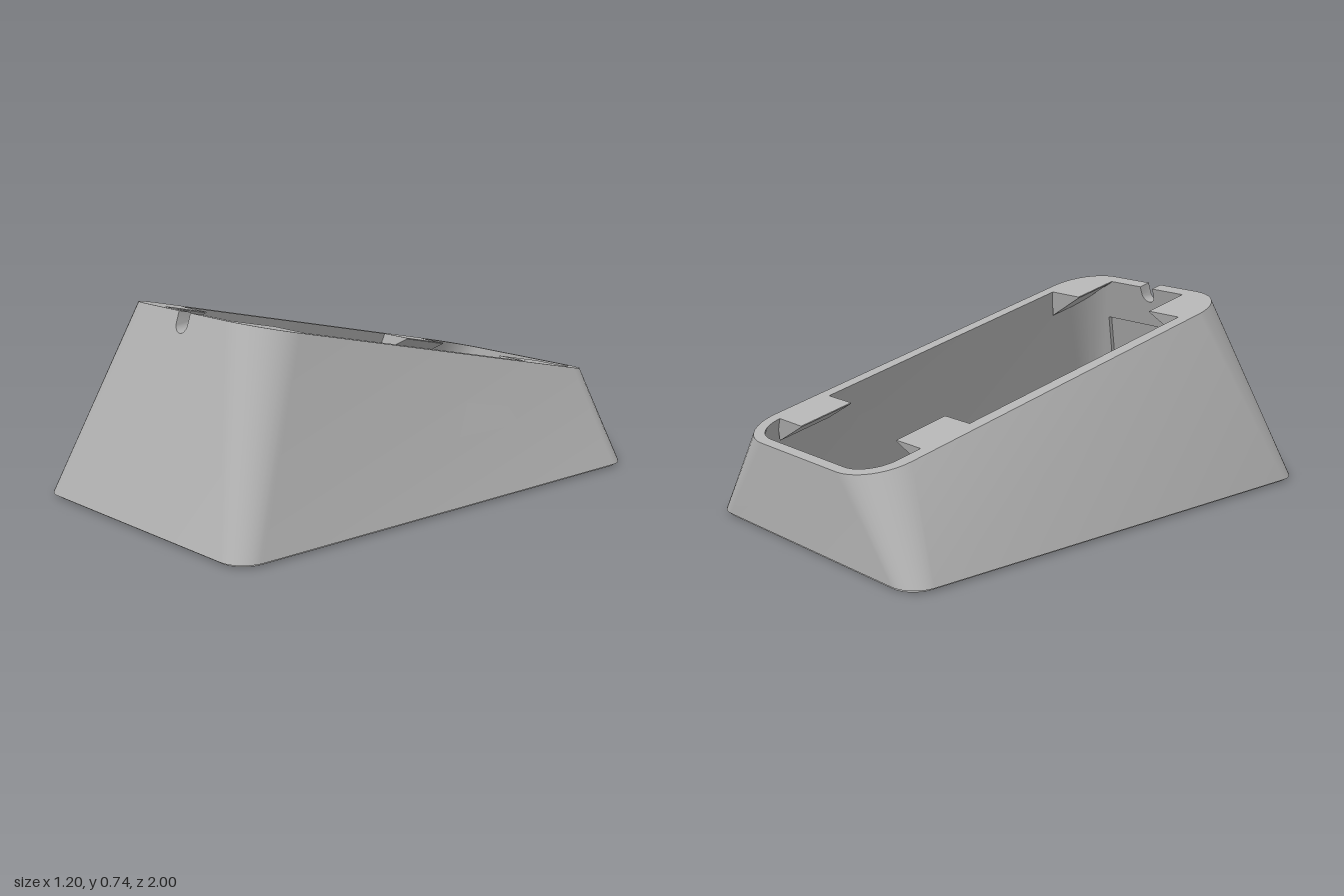
import * as THREE from 'three';
import { mergeGeometries, toCreasedNormals } from 'three/addons/utils/BufferGeometryUtils.js';

const SLOPE = 0.2244, NOTCH = 0.033, NOTCH_Y = 0.7;
const planeY = z => 0.345 + (z + 1) * SLOPE;

// Rounded rectangle seen from above, open along its straight front edge
function contour(hx, zBack, zFront, r, n = 10) {
  const pts = [];
  const arc = (cx, cz, start) => {
    for (let i = 0; i <= n; i++) {
      const a = start - (i / n) * Math.PI / 2;
      pts.push([cx + r * Math.cos(a), cz + r * Math.sin(a)]);
    }
  };
  arc(hx - r, zFront - r, Math.PI / 2);
  arc(hx - r, zBack + r, 0);
  arc(-hx + r, zBack + r, -Math.PI / 2);
  arc(-hx + r, zFront - r, -Math.PI);
  return pts;
}

// Strip of faces between two polylines of 3D points
function loft(a, b) {
  const pos = [];
  for (let i = 0; i < a.length - 1; i++)
    pos.push(...a[i], ...a[i + 1], ...b[i + 1], ...a[i], ...b[i + 1], ...b[i]);
  const g = new THREE.BufferGeometry();
  g.setAttribute('position', new THREE.Float32BufferAttribute(pos, 3));
  return g;
}

const toShape = pts => new THREE.Shape(pts.map(p => new THREE.Vector2(p[0], p[1])));
const planShape = pts => toShape(pts.map(([x, z]) => [x, -z]));

// Flat shape in x and y, with z set by a rule
function leaning(shape, zAt, flip = false) {
  const g = new THREE.ShapeGeometry(shape).toNonIndexed();
  const p = g.attributes.position;
  for (let i = 0; i < p.count; i++) p.setZ(i, zAt(p.getY(i)));
  if (flip) {
    for (let i = 0; i < p.count; i += 3) {
      const b = [p.getX(i + 1), p.getY(i + 1), p.getZ(i + 1)];
      p.setXYZ(i + 1, p.getX(i + 2), p.getY(i + 2), p.getZ(i + 2));
      p.setXYZ(i + 2, ...b);
    }
  }
  g.deleteAttribute('uv');
  g.deleteAttribute('normal');
  return g;
}

// Cable notch profile from +x to -x
function notchProfile(yTop) {
  const pts = [[NOTCH, yTop]];
  for (let i = 0; i <= 12; i++) {
    const a = -Math.PI * i / 12;
    pts.push([NOTCH * Math.cos(a), NOTCH_Y + NOTCH * Math.sin(a)]);
  }
  pts.push([-NOTCH, yTop]);
  return pts;
}

export function createModel() {
  const group = new THREE.Group();
  const grey = new THREE.MeshStandardMaterial({ color: 0xb2b2b2, side: THREE.DoubleSide });
  grey.name = 'grey plastic';
  const add = (name, geo) => {
    const m = new THREE.Mesh(geo, grey);
    m.name = name;
    group.add(m);
    return m;
  };
  const crease = parts => toCreasedNormals(mergeGeometries(parts), 0.5);

  const outerLow = contour(0.6, -0.98, 1, 0.1), outerTop = contour(0.41, -1, 0.76, 0.18);
  const innerLow = contour(0.545, -0.94, 0.95, 0.06), innerTop = contour(0.355, -0.963, 0.71, 0.13);
  const atY = (c, y) => c.map(([x, z]) => [x, y, z]);
  const onPlane = c => c.map(([x, z]) => [x, planeY(z), z]);
  const lean = (y0, z0, z1) => y => z0 + (z1 - z0) * (y - y0) / (planeY(z1) - y0);
  const outerZ = lean(0.01, 1, 0.76), innerZ = lean(0.03, 0.95, 0.71);

  // Front walls, cut by the notch
  const frontShape = (low, top, y0) => {
    const yt = planeY(top[0][1]), xb = low[0][0], xt = top[0][0];
    return toShape([[-xb, y0], [xb, y0], [xt, yt], ...notchProfile(yt), [-xt, yt]]);
  };
  add('outerWall', crease([
    loft(atY(outerLow, 0.01), onPlane(outerTop)),
    leaning(frontShape(outerLow, outerTop, 0.01), outerZ),
  ]));

  // Inner wall with a shallow pocket in the front
  const pocket = [[-0.38, 0.06], [0.38, 0.06], [0.27, 0.56], [-0.27, 0.56]];
  const innerFront = frontShape(innerLow, innerTop, 0.03);
  innerFront.holes.push(toShape(pocket));
  add('innerWall', crease([
    loft(onPlane(innerTop), atY(innerLow, 0.03)),
    leaning(innerFront, innerZ, true),
  ]));
  const pocketZ = y => innerZ(y) + 0.016;
  const loop = [...pocket, pocket[0]];
  add('frontPocket', crease([
    leaning(toShape(pocket), pocketZ, true),
    loft(loop.map(([x, y]) => [x, y, innerZ(y)]), loop.map(([x, y]) => [x, y, pocketZ(y)])),
  ]));

  // Notch lining
  const nOut = notchProfile(planeY(0.76)), nIn = notchProfile(planeY(0.71));
  add('cableNotch', crease([loft(
    nOut.map(([x, y]) => [x, y, outerZ(y)]), nIn.map(([x, y]) => [x, y, innerZ(y)]))]));

  // Sloping top rim, open at the notch
  const rim = new THREE.ShapeGeometry(planShape([
    [NOTCH, 0.76], ...outerTop, [-NOTCH, 0.76],
    [-NOTCH, 0.71], ...[...innerTop].reverse(), [NOTCH, 0.71],
  ])).rotateX(-Math.PI / 2);
  const rp = rim.attributes.position;
  for (let i = 0; i < rp.count; i++) rp.setY(i, planeY(rp.getZ(i)));
  rim.computeVertexNormals();
  add('topRim', rim);

  // Bottom flange with stepped corners and screw holes
  const lip = contour(0.585, -0.97, 0.985, 0.09);
  const flange = planShape(lip);
  flange.holes.push(planShape([
    [0.43, 0.93], [0.43, 0.82], [0.53, 0.82], [0.53, -0.8], [0.43, -0.8], [0.43, -0.9],
    [-0.43, -0.9], [-0.43, -0.8], [-0.53, -0.8], [-0.53, 0.82], [-0.43, 0.82], [-0.43, 0.93],
  ]));
  for (const x of [-0.5, 0.5]) for (const z of [-0.88, 0.9])
    flange.holes.push(new THREE.Path().absarc(x, -z, 0.03, 0, Math.PI * 2));
  add('bottomFlange', new THREE.ExtrudeGeometry(flange, { depth: 0.03, bevelEnabled: false, curveSegments: 12 })
    .rotateX(-Math.PI / 2));

  // Narrow ledge between the flange and the outer wall
  const ledge = planShape(outerLow);
  ledge.holes.push(planShape(lip));
  add('bottomLedge', new THREE.ShapeGeometry(ledge).rotateX(Math.PI / 2).scale(1, 1, -1).translate(0, 0.01, 0));

  // Screw posts in the corners
  for (const s of [-1, 1]) for (const [x, z, h] of [[0.46, 0.86, 0.12], [0.42, -0.86, 0.1]])
    add('screwPost', new THREE.CylinderGeometry(0.07, 0.07, h, 28)).position.set(s * x, 0.02 + h / 2, z);

  // Wedge tabs flush with the rim, tapering down to the side wall
  function wedge(name, side, xIn, xOut, z0, z1, tip, depth) {
    const section = toShape([[side * xIn, 0], [side * xOut, 0], [side * (xOut + 0.02), -depth], [side * xIn, -tip]]);
    const k = Math.hypot(1, SLOPE);
    const m = add(name, new THREE.ExtrudeGeometry(section, { depth: (z1 - z0) * k, bevelEnabled: false }));
    m.rotation.x = -Math.atan(SLOPE);
    m.position.set(0, planeY(z0), z0);
  }
  wedge('rearTab', -1, 0.22, 0.375, -0.74, -0.525, 0.004, 0.1);
  wedge('rearTab', 1, 0.215, 0.375, -0.84, -0.62, 0.004, 0.1);
  for (const side of [-1, 1]) {
    wedge('frontCornerTab', side, 0.2, 0.36, 0.52, 0.69, 0.004, 0.11);
    wedge('frontCornerTab', side, 0.2, 0.32, 0.53, 0.715, 0.004, 0.08);
  }
  return group;
}
